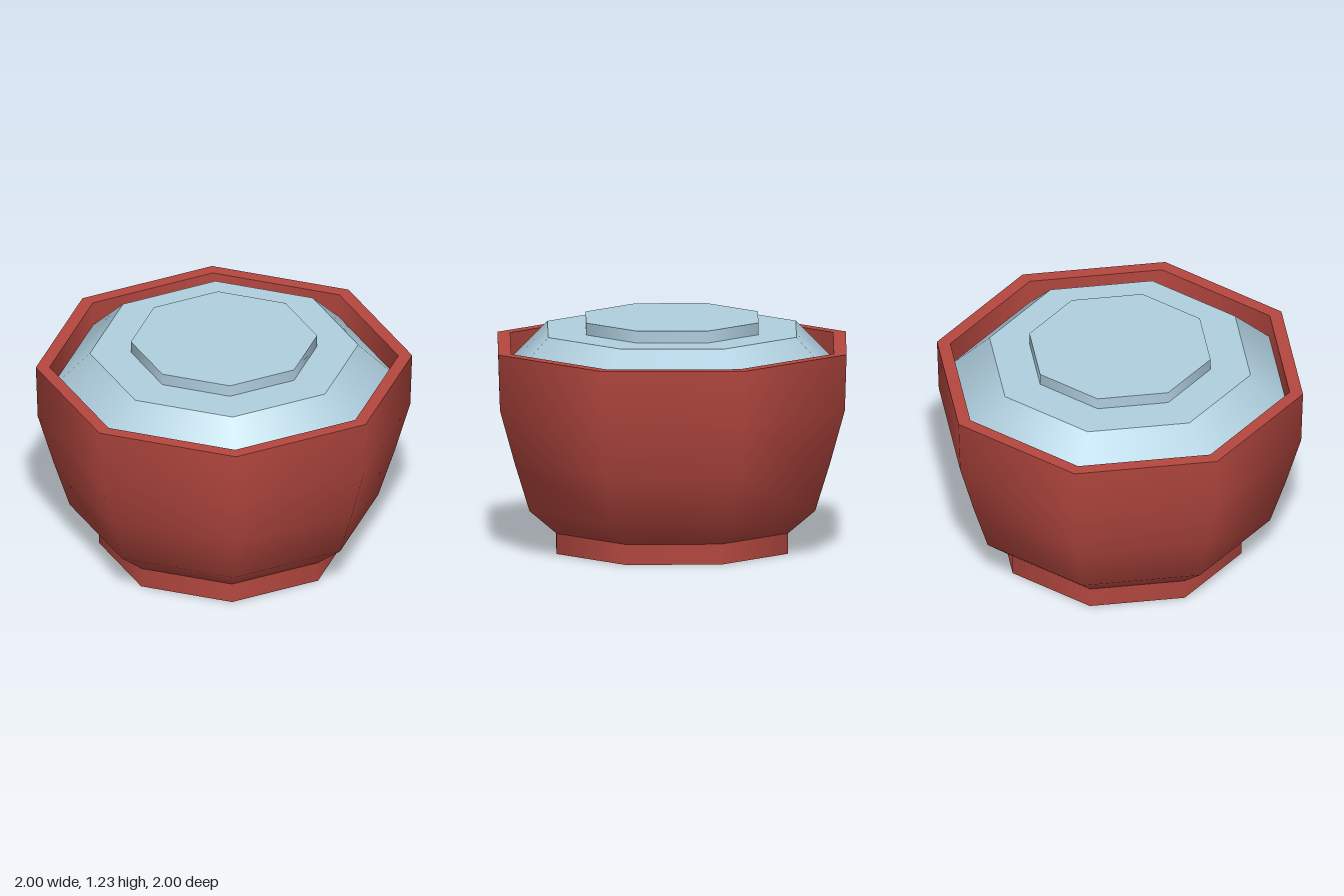
import * as THREE from 'three';

const SIDES = 8;

export function createModel() {
  const model = new THREE.Group();
  model.name = 'lidded bowl';

  const red = new THREE.MeshStandardMaterial({ color: 0xb4473f });
  red.name = 'red lacquer';
  const blue = new THREE.MeshStandardMaterial({ color: 0xb0cfdf });
  blue.name = 'pale blue';

  // Each band is one smooth surface; separate bands keep a sharp edge between them.
  function turned(name, material, bands) {
    const group = new THREE.Group();
    group.name = name;
    for (const [label, ...profile] of bands) {
      const points = profile.map(([r, y]) => new THREE.Vector2(r, y));
      const mesh = new THREE.Mesh(new THREE.LatheGeometry(points, SIDES), material);
      mesh.name = label;
      group.add(mesh);
    }
    model.add(group);
  }

  // Hollow foot ring with a softly shaded recess
  turned('foot', red, [
    ['footRecess', [0, 0.1], [0.58, 0.1], [0.59, 0]],
    ['footBase', [0.59, 0], [0.665, 0]],
    ['footSide', [0.665, 0], [0.665, 0.11]],
  ]);

  // Bowl wall, flat rim and inside lip
  turned('bowl', red, [
    ['bowlOuter', [0.665, 0.11], [0.82, 0.24], [0.905, 0.5], [0.99, 0.79], [1, 1.09]],
    ['bowlRim', [1, 1.09], [0.927, 1.09]],
    ['bowlInner', [0.927, 1.09], [0.922, 0.9]],
  ]);

  // Lid sits inside the rim with a sloping shoulder
  turned('lid', blue, [
    ['lidShoulder', [0.925, 0.955], [0.79, 1.09], [0.713, 1.166]],
    ['lidTop', [0.713, 1.166], [0.495, 1.166]],
  ]);

  // Raised grip on the lid
  turned('lidGrip', blue, [
    ['gripSide', [0.495, 1.166], [0.495, 1.23]],
    ['gripTop', [0.495, 1.23], [0, 1.23]],
  ]);

  return model;
}
